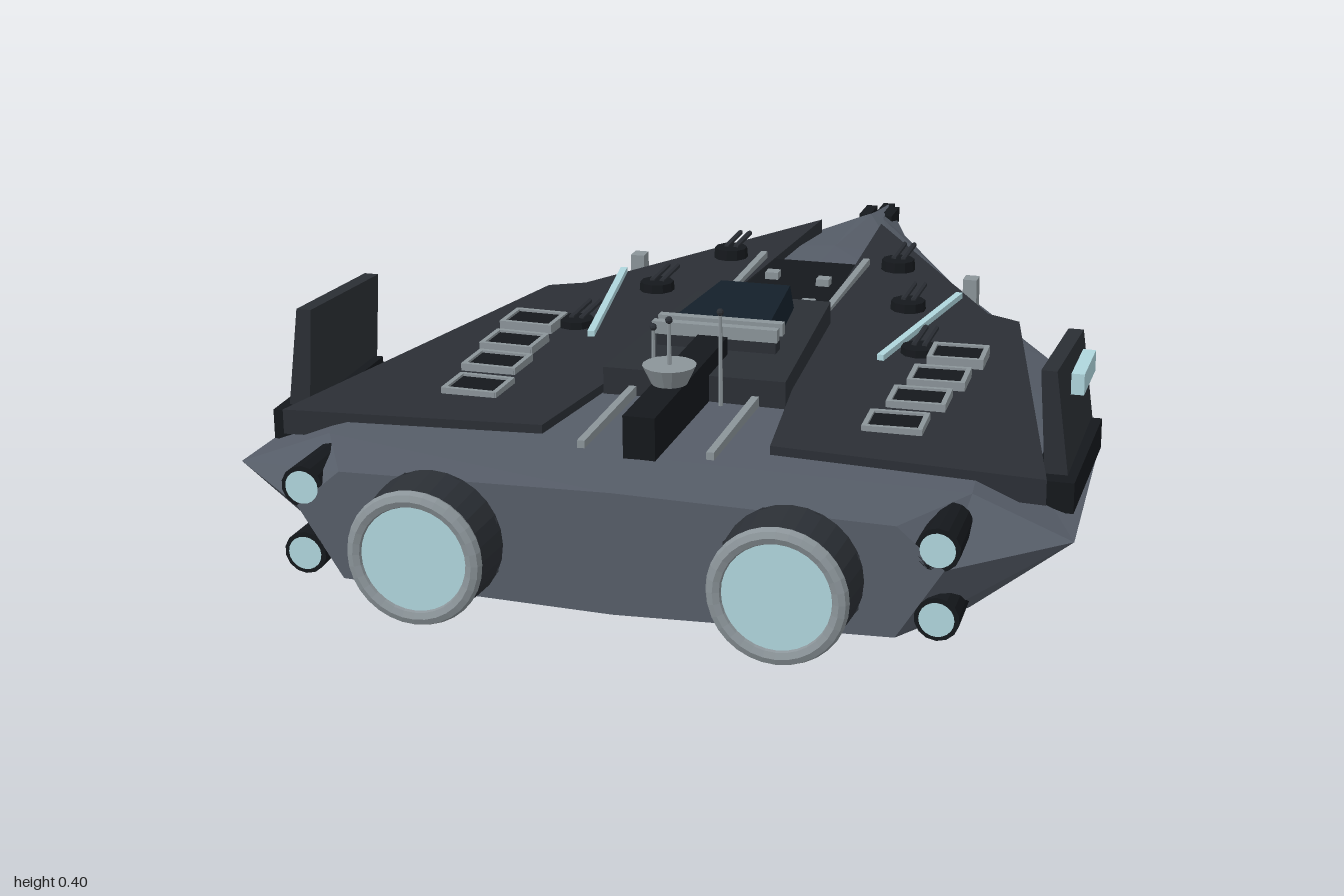
import * as THREE from 'three';

const mat = (color) => new THREE.MeshStandardMaterial({ color, flatShading: true });
const HULL = mat(0x565d68), DARK = mat(0x2b2f35), BLACK = mat(0x15181c), LIGHT = mat(0x8b9499);
const GLOW = mat(0xafd6dd), GLASS = mat(0x14202a), GOLD = mat(0x8a6a30);

function add(parent, name, geometry, material, x = 0, y = 0, z = 0) {
  const mesh = new THREE.Mesh(geometry, material);
  mesh.name = name;
  mesh.position.set(x, y, z);
  parent.add(mesh);
  return mesh;
}

// Box given by its extents on each axis
function box(parent, name, material, [x0, x1], [y0, y1], [z0, z1]) {
  const geometry = new THREE.BoxGeometry(Math.abs(x1 - x0), y1 - y0, z1 - z0);
  return add(parent, name, geometry, material, (x0 + x1) / 2, (y0 + y1) / 2, (z0 + z1) / 2);
}

// Cylinder along z; rBack is the radius at the -z end
const tubeZ = (rFront, rBack, length, sides = 20, open = false) =>
  new THREE.CylinderGeometry(rFront, rBack, length, sides, 1, open).rotateX(Math.PI / 2);

// Hull stations: z, rim half width, rim y, roof half width, roof y, belly half width, belly y
const STATIONS = [
  [-1, 0.004, 0.135, 0.002, 0.145, 0.002, 0.122],
  [-0.82, 0.07, 0.138, 0.025, 0.17, 0.045, 0.105],
  [-0.5, 0.23, 0.143, 0.12, 0.193, 0.16, 0.08],
  [-0.08, 0.48, 0.15, 0.32, 0.203, 0.35, 0.055],
  [0.36, 0.63, 0.155, 0.46, 0.208, 0.48, 0.042],
  [0.75, 0.65, 0.155, 0.5, 0.215, 0.5, 0.037],
  [0.9, 0.49, 0.155, 0.42, 0.215, 0.42, 0.045],
];

// Skin strips between consecutive stations for the chosen ring segments
function hullSkin(segments, cap) {
  const rings = STATIONS.map(([z, w, wy, r, ry, b, by]) => [
    [0, ry + 0.008, z], [r, ry, z], [w, wy, z], [b, by, z],
    [0, by - 0.012, z], [-b, by, z], [-w, wy, z], [-r, ry, z],
  ]);
  const out = [];
  for (let i = 0; i + 1 < rings.length; i++) {
    for (const j of segments) {
      const k = (j + 1) % 8, a = rings[i], b = rings[i + 1];
      out.push(a[j], b[j], b[k], a[j], b[k], a[k]);
    }
  }
  if (cap) {
    const first = rings[0], last = rings[rings.length - 1];
    for (let j = 0; j < 8; j++) {
      const k = (j + 1) % 8;
      out.push([0, 0.13, 0.9], last[k], last[j], [0, 0.135, -1], first[j], first[k]);
    }
  }
  const geometry = new THREE.BufferGeometry();
  geometry.setAttribute('position', new THREE.Float32BufferAttribute(out.flat(), 3));
  geometry.computeVertexNormals();
  return geometry;
}

// Deck plate: extruded outline whose top rises toward the stern and falls outboard
function deckPlate(s) {
  const outline = [[0.06, -0.64], [0.37, -0.1], [0.43, -0.07], [0.6, 0.7], [0.18, 0.68], [0.1, 0.05]];
  const shape = new THREE.Shape(outline.map(([x, z]) => new THREE.Vector2(s * x, -z)));
  const geometry = new THREE.ExtrudeGeometry(shape, { depth: 0.04, bevelEnabled: false });
  geometry.rotateX(-Math.PI / 2);
  const p = geometry.attributes.position;
  for (let i = 0; i < p.count; i++) {
    const lift = 0.172 + 0.024 * (p.getZ(i) + 0.64) / 1.34 - 0.015 * Math.abs(p.getX(i));
    p.setY(i, p.getY(i) + lift);
  }
  geometry.computeVertexNormals();
  return geometry;
}

function turret(parent, x, z) {
  const g = new THREE.Group();
  g.name = 'turret';
  g.position.set(x, 0.205, z);
  add(g, 'turretBase', new THREE.CylinderGeometry(0.03, 0.033, 0.035, 10), BLACK, 0, 0.012, 0);
  for (const dx of [-0.009, 0.009]) add(g, 'barrel', tubeZ(0.005, 0.005, 0.1, 6), DARK, dx, 0.03, -0.05);
  parent.add(g);
}

// Framed deck hatch
function hatch(parent, x, z, s) {
  const g = new THREE.Group();
  g.name = 'deckHatch';
  g.position.set(x, 0.222, z);
  g.rotation.y = s * 0.04;
  box(g, 'hatchPanel', BLACK, [-0.04, 0.04], [-0.02, 0.012], [-0.033, 0.033]);
  for (const d of [-1, 1]) {
    box(g, 'hatchFrameSide', LIGHT, [d * 0.039, d * 0.047], [-0.02, 0.016], [-0.039, 0.039]);
    add(g, 'hatchFrameEnd', new THREE.BoxGeometry(0.09, 0.036, 0.008), LIGHT, 0, -0.002, d * 0.036);
  }
  parent.add(g);
}

function mainEngine(parent, x) {
  const g = new THREE.Group();
  g.name = 'mainEngine';
  g.position.set(x, 0.128, 0);
  add(g, 'engineHousing', tubeZ(0.108, 0.03, 0.14, 8).rotateZ(Math.PI / 8), DARK, 0, 0, 0.84);
  add(g, 'engineBarrel', tubeZ(0.1, 0.106, 0.08, 28), DARK, 0, 0, 0.945);
  add(g, 'nozzleRing', new THREE.TorusGeometry(0.091, 0.013, 8, 32), LIGHT, 0, 0, 0.985);
  add(g, 'engineGlow', new THREE.CircleGeometry(0.08, 32), GLOW, 0, 0, 0.99);
  parent.add(g);
}

function fin(parent, s) {
  const geometry = new THREE.BoxGeometry(0.032, 0.19, 0.27);
  const p = geometry.attributes.position;
  // lean outboard at the foot, taller toward the stern
  for (let i = 0; i < p.count; i++) {
    const top = p.getY(i) > 0, aft = p.getZ(i) > 0;
    p.setX(i, p.getX(i) * (top ? 0.75 : 1.15) + s * (top ? 0.588 : 0.606));
    p.setY(i, top ? (aft ? 0.37 : 0.35) : (aft ? 0.18 : 0.162));
  }
  geometry.computeVertexNormals();
  add(parent, 'fin', geometry, DARK, 0, 0, 0.495);
  box(parent, 'finBase', BLACK, [s * 0.57, s * 0.635], [0.162, 0.21], [0.37, 0.66]);
  box(parent, 'finLamp', GLOW, [s * 0.608, s * 0.628], [0.305, 0.338], [0.42, 0.54]);
}

export function createModel() {
  const model = new THREE.Group();

  // Hull
  add(model, 'hull', hullSkin([0, 1, 2, 5, 6, 7], true), HULL);
  add(model, 'underside', hullSkin([3, 4], false), DARK);
  box(model, 'noseTip', BLACK, [-0.012, 0.012], [0.122, 0.155], [-0.995, -0.93]);

  // Spine: sunken bay, raised block, canopy and sensor boom
  box(model, 'spineBay', BLACK, [-0.09, 0.09], [0.17, 0.215], [-0.34, 0.05]);
  const block = new THREE.BoxGeometry(0.3, 0.065, 0.43);
  const bp = block.attributes.position;
  for (let i = 0; i < bp.count; i++) if (bp.getZ(i) < 0) bp.setX(i, bp.getX(i) * 0.8);
  block.computeVertexNormals();
  add(model, 'spineBlock', block, DARK, 0, 0.228, 0.255);
  const canopy = new THREE.BoxGeometry(0.18, 0.04, 0.22);
  const cp = canopy.attributes.position;
  for (let i = 0; i < cp.count; i++) {
    if (cp.getZ(i) < 0) cp.setX(i, cp.getX(i) * 0.75);
    if (cp.getY(i) > 0) cp.setX(i, cp.getX(i) * 0.9);
  }
  canopy.computeVertexNormals();
  add(model, 'canopy', canopy, GLASS, 0, 0.28, 0.2);
  for (const z of [0.307, 0.343]) box(model, 'canopyBar', LIGHT, [-0.105, 0.105], [0.283, 0.304], [z - 0.008, z + 0.008]);
  box(model, 'canopyBarCore', DARK, [-0.1, 0.1], [0.255, 0.295], [0.31, 0.34]);
  box(model, 'sensorBoom', BLACK, [-0.025, 0.025], [0.21, 0.29], [0.36, 0.76]);
  add(model, 'sensorDish', new THREE.CylinderGeometry(0.042, 0.028, 0.03, 16), LIGHT, 0, 0.305, 0.6);
  for (const [x, top, z] of [[-0.05, 0.355, 0.52], [0, 0.395, 0.6], [0.05, 0.378, 0.49]]) {
    add(model, 'antenna', new THREE.CylinderGeometry(0.003, 0.004, top - 0.22, 6), LIGHT, x, (top + 0.22) / 2, z);
    add(model, 'antennaTip', new THREE.SphereGeometry(0.006, 8, 6), DARK, x, top - 0.004, z);
  }
  for (const [x, z] of [[-0.05, -0.22], [0.05, -0.2], [0.055, -0.06], [-0.03, -0.1], [0.04, 0.0]])
    box(model, 'bayFitting', LIGHT, [x - 0.012, x + 0.012], [0.21, 0.228], [z - 0.012, z + 0.012]);

  for (const s of [-1, 1]) {
    // Deck
    add(model, 'deckPlate', deckPlate(s), DARK);
    box(model, 'forwardRail', LIGHT, [s * 0.092, s * 0.104], [0.19, 0.228], [-0.34, 0.04]);
    box(model, 'aftRail', LIGHT, [s * 0.095, s * 0.107], [0.21, 0.233], [0.47, 0.73]);
    [[0.37, 0.18], [0.362, 0.3], [0.352, 0.41], [0.34, 0.53]].forEach(([x, z]) => hatch(model, s * x, z, s));
    [[0.16, -0.33], [0.23, -0.085], [0.3, 0.16]].forEach(([x, z]) => turret(model, s * x, z));
    const strip = add(model, 'lightStrip', new THREE.BoxGeometry(0.012, 0.01, 0.38), GLOW, s * 0.28, 0.233, 0.045);
    strip.rotation.y = -s * 0.16;
    box(model, 'deckSensor', LIGHT, [s * 0.3, s * 0.325], [0.18, 0.235], [-0.26, -0.23]);
    box(model, 'rimSensor', LIGHT, [s * 0.495, s * 0.51], [0.15, 0.18], [-0.01, 0.045]);
    fin(model, s);
    box(model, 'noseBracket', BLACK, [s * 0.012, s * 0.034], [0.135, 0.165], [-0.935, -0.86]);

    // Engines
    mainEngine(model, s * 0.27);
    for (const y of [0.185, 0.08]) {
      add(model, 'smallThruster', tubeZ(0.033, 0.03, 0.11, 14), BLACK, s * 0.48, y, 0.845);
      add(model, 'smallThrusterGlow', new THREE.CircleGeometry(0.026, 20), GLOW, s * 0.48, y, 0.902);
    }

    // Belly pods
    box(model, 'bellyPod', DARK, [s * 0.127, s * 0.215], [0.014, 0.07], [-0.21, 0]);
    box(model, 'bellyGun', BLACK, [s * 0.15, s * 0.195], [0, 0.025], [-0.23, -0.19]);
  }

  // Belly door
  box(model, 'bellyDoor', BLACK, [-0.16, 0.16], [0.029, 0.06], [0.03, 0.45]);
  box(model, 'bellyStrip', GOLD, [-0.012, 0.012], [0.023, 0.04], [0.04, 0.44]);

  return model;
}
